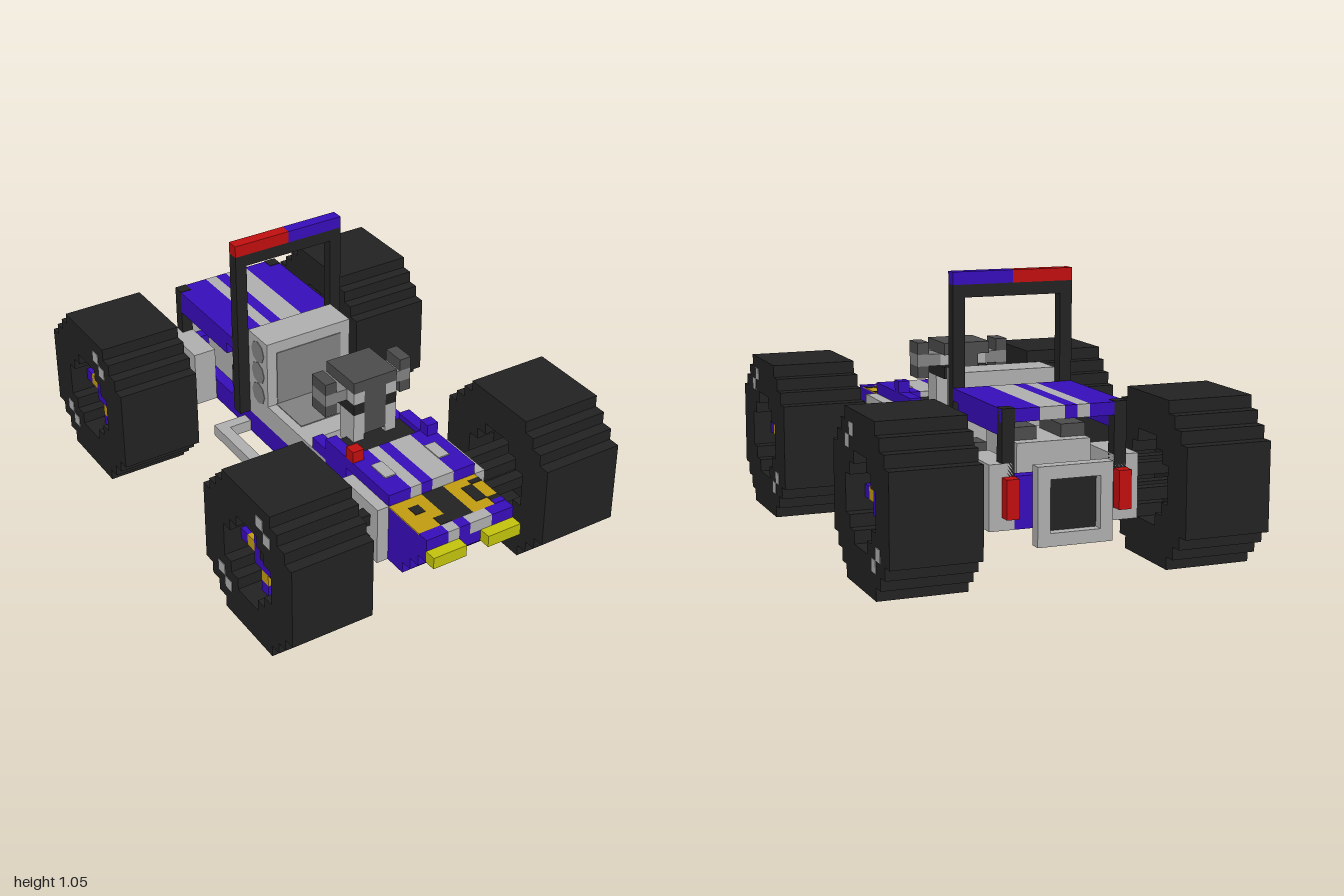
import * as THREE from 'three';

const U = 1 / 21; // one block

const paint = (name, color) => {
  const m = new THREE.MeshStandardMaterial({ color });
  m.name = name;
  return m;
};

// Outline of a stack of centred rows, one block high each
function steppedPoints(widths) {
  const h = widths.length / 2, right = [], left = [];
  widths.forEach((w, i) => {
    right.push([w / 2, i - h], [w / 2, i + 1 - h]);
    left.unshift([-w / 2, i + 1 - h], [-w / 2, i - h]);
  });
  return [...right, ...left]
    .filter((p, i, a) => i === 0 || p[0] !== a[i - 1][0] || p[1] !== a[i - 1][1])
    .map(([x, y]) => new THREE.Vector2(x * U, y * U));
}

export function createModel() {
  const blue = paint('blue', 0x370db9), black = paint('black', 0x222222);
  const light = paint('lightGrey', 0xadadad), mid = paint('midGrey', 0x808080);
  const dark = paint('darkGrey', 0x4b4b4b), red = paint('red', 0xbf0e0e);
  const gold = paint('gold', 0xbf9a10), yellow = paint('yellow', 0xc1c10c);

  const model = new THREE.Group();
  model.name = 'buggy';

  // Box from its limits in blocks
  const box = (name, mat, x0, x1, y0, y1, z0, z1, parent = model) => {
    const mesh = new THREE.Mesh(new THREE.BoxGeometry((x1 - x0) * U, (y1 - y0) * U, (z1 - z0) * U), mat);
    mesh.position.set((x0 + x1) / 2 * U, (y0 + y1) / 2 * U, (z0 + z1) / 2 * U);
    mesh.name = name;
    parent.add(mesh);
    return mesh;
  };
  const pair = (name, mat, x0, x1, ...rest) => {
    box(name, mat, x0, x1, ...rest);
    box(name, mat, -x1, -x0, ...rest);
  };
  // Bodywork with the lengthwise racing stripes
  const striped = (name, w, ...rest) => {
    [[-w, -2, blue], [-2, -1, light], [-1, 0, blue], [0, 2, light], [2, w, blue]]
      .forEach(([a, b, mat]) => box(name, mat, a, b, ...rest));
  };

  // Wheels
  const tyreShape = new THREE.Shape(steppedPoints([7, 9, 11, 13, 13, 13, 13, 13, 13, 13, 11, 9, 7]));
  tyreShape.holes.push(new THREE.Path(steppedPoints([3, 5, 7, 7, 7, 5, 3])));
  const tyreGeo = new THREE.ExtrudeGeometry(tyreShape, { depth: 7 * U, bevelEnabled: false });
  tyreGeo.translate(0, 0, -3.5 * U).rotateY(Math.PI / 2);
  const makeWheel = (side, z) => {
    const wheel = new THREE.Group();
    wheel.name = 'wheel';
    wheel.position.set(side * 11.5 * U, 6.5 * U, z * U);
    const tyre = new THREE.Mesh(tyreGeo, black);
    tyre.name = 'tyre';
    wheel.add(tyre);
    const part = (name, mat, a, b, y0, y1, z0, z1) =>
      box(name, mat, Math.min(side * a, side * b), Math.max(side * a, side * b), y0, y1, z0, z1, wheel);
    part('rim', black, -1, 1, -3.5, 3.5, -3.5, 3.5);
    part('hub', blue, 1, 2, -1.5, 1.5, -1.5, 1.5);
    part('hubCap', black, 2, 2.1, -0.5, 0.5, -0.5, 0.5);
    for (const s of [-1, 1]) {
      for (const [r, mat] of [[2, gold], [3, blue]]) {
        part('spoke', mat, 1, 2, s * r - 0.5, s * r + 0.5, -0.5, 0.5);
        part('spoke', mat, 1, 2, -0.5, 0.5, s * r - 0.5, s * r + 0.5);
      }
    }
    for (const [cy, cz] of [[5, 2], [4, 3], [-3, -4], [-4, -3]])
      part('tyreMark', light, 3.5, 3.55, cy - 0.5, cy + 0.5, cz - 0.5, cz + 0.5);
    model.add(wheel);
  };
  for (const z of [12.5, -14.5]) for (const side of [-1, 1]) makeWheel(side, z);

  // Axles and suspension uprights
  for (const y of [5, 7]) {
    for (const z of [11, 13]) pair('frontAxle', black, 4.5, 10.6, y, y + 1, z, z + 1);
    for (const z of [-16, -14]) pair('rearAxle', black, 5.5, 10.6, y, y + 1, z, z + 1);
  }
  pair('frontUpright', light, 4, 5, 4, 9, 10, 15);
  pair('rearUpright', light, 4, 6, 4, 9, -17, -12);

  // Chassis with open underside
  pair('chassisRail', blue, 3, 4, 4, 6, -17, 10);
  box('floor', black, -3, 3, 5, 6, -16, 10);
  for (const z of [5, -1, -6, -11]) box('underBar', gold, -3, 3, 4.6, 5, z - 0.8, z + 0.8);
  box('rearPanel', blue, -4, 4, 4, 8, -17, -16);

  // Side guard rails
  pair('guardRail', light, 6, 7, 4, 5, -7, 6);
  pair('guardRailEnd', light, 4, 6, 4, 5, -7, -6);
  pair('guardRailEnd', light, 4, 6, 4, 5, 5, 6);

  // Nose
  for (let i = 0; i < 3; i++) box('lowerNose', blue, -4, 4, 4 + i, 5 + i, 10, 17 + i);
  box('noseCore', blue, -4, 4, 7, 8, 15, 20);
  striped('noseLip', 4, 8, 9, 19, 20);
  box('noseDeck', blue, -4, 4, 8, 8.9, 15, 19);
  pair('headlight', yellow, 1, 4, 7, 8, 20, 21);
  pair('deckPlate', gold, 1, 4, 8.9, 9, 15, 19);
  box('deckCentre', black, -1, 1, 8.9, 9, 15, 19);
  // Dark and blue markings on the gold deck
  const mark = (mat, x0, x1, z0, z1) => box('deckMark', mat, x0, x1, 9, 9.04, z0, z1);
  mark(black, -2.9, -2, 16, 17);
  mark(black, -2, -1, 18, 19);
  mark(black, 2, 3, 16, 18);
  mark(black, 3, 4, 15.5, 16);
  mark(black, 3, 4, 18, 18.5);
  mark(blue, 3, 4, 18.5, 19);

  // Hood
  box('hoodBase', blue, -4, 4, 7, 9, 10, 15);
  striped('hoodTop', 4, 9, 10, 9, 15);
  pair('hoodVent', light, 2, 3, 10, 10.1, 11, 13);
  box('beacon', red, -4, -3, 10, 11, 9, 10);
  box('mirrorBlock', blue, 3, 4, 10, 11, 9, 10);

  // Cockpit sides and dashboard
  pair('cockpitSide', light, 3, 4, 6, 8, 3, 6);
  pair('cockpitTrim', blue, 3, 4, 8, 9, 4, 6);
  pair('cowlSide', blue, 3, 4, 6, 10, 6, 9);
  box('dashboard', black, -3, 3, 6, 9.5, 6, 9);

  // Steering column and yoke
  box('columnFoot', dark, -1, 1, 6, 10, 5, 6);
  pair('columnBracket', light, 1, 2, 9, 12, 5, 7);
  box('column', dark, -1, 1, 10, 12, 5, 7);
  box('yokeCentre', dark, -1, 1, 12, 15, 3, 7);
  pair('yokeCheek', black, 1, 2, 12, 13, 3, 7);
  pair('yokeCheek', light, 1, 2, 13, 14, 4, 7);
  pair('yokeCheek', dark, 1, 2, 14, 15, 3, 7);
  pair('yokeArm', mid, 2, 4, 13, 14, 4, 6);
  pair('yokeGrip', dark, 3, 4, 14, 15, 4, 6);
  pair('yokeGrip', dark, 3, 4, 12, 13, 4, 6);

  // Seat
  box('seatBase', light, -4, 4, 6, 8, -6, 3);
  box('seatCushion', mid, -3.2, 3.2, 8, 8.08, -3, 1);
  box('seatBack', light, -4, 4, 8, 14, -6, -3);
  box('seatBackPad', mid, -3.1, 3.1, 8.05, 13, -3, -2.92);
  const dotGeo = new THREE.CylinderGeometry(U, U, 0.1 * U, 8).rotateZ(Math.PI / 2);
  for (const side of [-1, 1]) for (const y of [8.6, 10.6, 12.6]) {
    const dot = new THREE.Mesh(dotGeo, mid);
    dot.name = 'seatSideSpot';
    dot.position.set(side * 4 * U, y * U, -4.5 * U);
    model.add(dot);
  }

  // Roll bar
  pair('rollBarPost', black, 4, 5, 6, 20, -7, -6);
  box('rollBarBeam', black, -5, 5, 20, 21, -7, -6);
  box('rollBarLight', red, -5, 0, 21, 22, -7, -6);
  box('rollBarLight', blue, 0, 5, 21, 22, -7, -6);

  // Engine bay and cover
  box('engine', light, -3, 3, 6, 10, -15, -9);
  pair('engineHead', dark, 1, 3, 10, 11, -14, -10);
  pair('bayFoot', dark, 3, 4, 6, 9, -9, -7);
  pair('bayPost', black, 4, 5, 6, 13.05, -17, -16);
  pair('coverSkirt', blue, 4, 5, 11, 12, -16, -8);
  striped('engineCover', 5, 12, 13, -16.99, -7);

  // Tail frame and lights
  box('tailMount', black, -2, 2, 4, 8, -18.2, -17);
  box('tailFrame', light, -3, 3, 8, 9, -19, -18);
  box('tailFrame', light, -3, 3, 3, 4, -19, -18);
  pair('tailFrame', light, 2, 3, 4, 8, -19, -18);
  pair('tailLight', red, 4, 5, 5, 8, -18, -17);

  return model;
}
